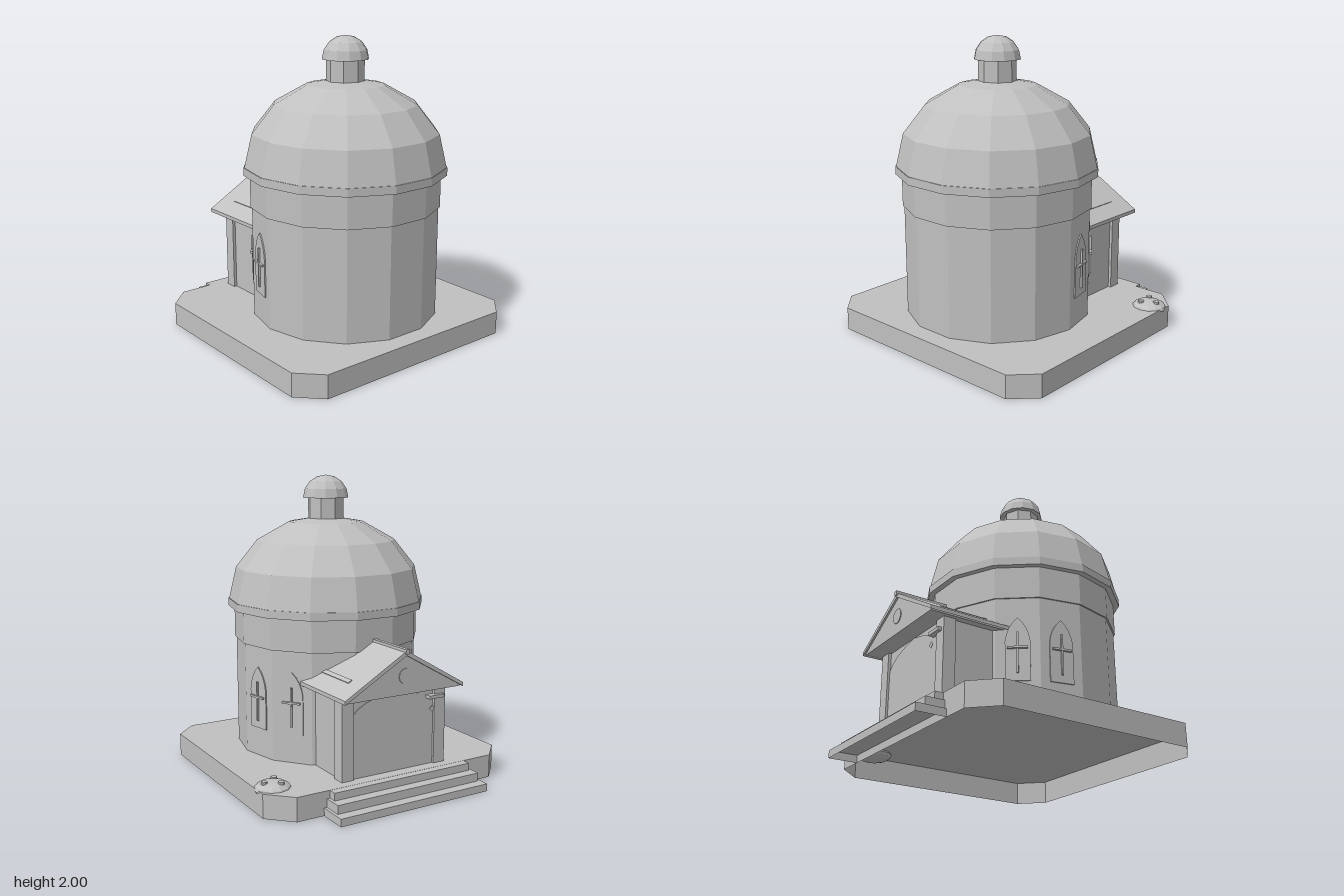
import * as THREE from 'three';

export function createModel() {
  const root = new THREE.Group();
  const stone = new THREE.MeshStandardMaterial({ color: 0xc0c0c0, flatShading: true, side: THREE.DoubleSide });
  stone.name = 'paleStone';
  const TX = -0.007, PX = -0.01, CZ = 0.19; // tower axis, porch centre line

  const add = (name, geo, x = 0, y = 0, z = 0, parent = root) => {
    const m = new THREE.Mesh(geo, stone);
    m.name = name;
    m.position.set(x, y, z);
    parent.add(m);
    return m;
  };
  // box from its lower and upper corners
  const box = (name, x0, x1, y0, y1, z0, z1, parent) =>
    add(name, new THREE.BoxGeometry(x1 - x0, y1 - y0, z1 - z0),
      (x0 + x1) / 2, (y0 + y1) / 2, (z0 + z1) / 2, parent);
  // prism on the tower axis, with corners on the x axis
  const prism = (name, r, y0, y1, sides) =>
    add(name, new THREE.CylinderGeometry(r, r, y1 - y0, sides, 1, false, Math.PI / 2), TX, (y0 + y1) / 2, CZ);
  const dome = (name, r, y, h, sides) => {
    const g = new THREE.SphereGeometry(r, sides, 4, 0, Math.PI * 2, 0, Math.PI / 2);
    g.scale(1, h / r, 1);
    return add(name, g, TX, y, CZ);
  };
  const outline = points => new THREE.Shape(points.map(p => new THREE.Vector2(...p)));
  const extrude = (points, depth) =>
    new THREE.ExtrudeGeometry(outline(points), { depth, bevelEnabled: false });
  // pointed arch plate facing +z
  const archPlate = (w, y0, spring, top, depth) => {
    const s = new THREE.Shape();
    s.moveTo(-w, y0);
    s.lineTo(w, y0);
    s.lineTo(w, spring);
    s.quadraticCurveTo(w * 0.85, (spring + top) / 2 + 0.02, 0, top);
    s.quadraticCurveTo(-w * 0.85, (spring + top) / 2 + 0.02, -w, spring);
    s.closePath();
    return new THREE.ExtrudeGeometry(s, { depth, bevelEnabled: false, curveSegments: 4 });
  };
  // hollow slab: top and side walls, open underneath (outline in x, -z)
  const openSlab = (name, points, y0, y1) => {
    const g = new THREE.Group();
    g.name = name;
    const top = new THREE.ShapeGeometry(outline(points));
    top.rotateX(-Math.PI / 2);
    add(name + 'Top', top, 0, y1, 0, g);
    points.forEach(([x0, v0], i) => {
      const [x1, v1] = points[(i + 1) % points.length];
      const wall = new THREE.PlaneGeometry(Math.hypot(x1 - x0, v1 - v0), y1 - y0);
      add(name + 'Wall', wall, (x0 + x1) / 2, (y0 + y1) / 2, -(v0 + v1) / 2, g)
        .rotation.y = Math.atan2(v1 - v0, x1 - x0);
    });
    root.add(g);
  };

  // Chamfered plinth, hollow below
  const L = -0.89, R = 0.875, F = -0.92, B = 0.725, c = 0.15;
  openSlab('plinth', [[L + c, F], [R - c, F], [R, F + c], [R, B - c],
    [R - c, B], [L + c, B], [L, B - c], [L, F + c]], 0, 0.155);

  // Steps at the back
  [[0.51, 0.105, 0.154, 0.78], [0.53, 0.05, 0.105, 0.85], [0.55, 0, 0.05, 0.92]].forEach(([w, y0, y1, v]) =>
    openSlab('step', [[PX - w, B], [PX + w, B], [PX + w, v], [PX - w, v]], y0, y1));

  // Tower, cornice, dome and lantern
  prism('drum', 0.622, 0.157, 0.9, 14);
  prism('upperDrum', 0.632, 0.9, 1.114, 14);
  prism('cornice', 0.672, 1.114, 1.167, 14);
  dome('dome', 0.667, 1.167, 0.562, 14);
  prism('lantern', 0.124, 1.69, 1.85, 8);
  prism('lanternRim', 0.153, 1.848, 1.852, 12);
  dome('lanternCap', 0.153, 1.851, 0.149, 12);

  // Two pointed windows with cross bars on each side
  for (const side of [1, -1]) {
    for (const k of [0.5, 1.5]) {
      const ang = k * Math.PI * 2 / 14;
      const g = new THREE.Group();
      g.name = 'window';
      g.position.set(TX + side * 0.6064 * Math.cos(ang), 0, CZ - 0.6064 * Math.sin(ang));
      g.rotation.y = side * (Math.PI / 2 + ang);
      add('windowPane', archPlate(0.078, 0.35, 0.61, 0.765, 0.008), 0, 0, 0, g);
      box('windowPost', -0.006, 0.006, 0.4, 0.665, 0, 0.02, g);
      box('windowBar', -0.063, 0.063, 0.557, 0.57, 0, 0.024, g);
      root.add(g);
    }
  }

  // Porch body, corner pillars and overhanging gable
  box('porchBody', PX - 0.37, PX + 0.37, 0.157, 0.71, -0.645, -0.25);
  for (const s of [1, -1]) {
    box('pillar', PX + s * 0.348 - 0.0425, PX + s * 0.348 + 0.0425, 0.157, 0.7, -0.665, -0.58);
  }
  add('gable', extrude([[-0.42, 0.687], [0.42, 0.687], [0.42, 0.7], [0, 0.945], [-0.42, 0.7]], 0.52), PX, 0, -0.772);

  // Porch roof with ridge and raised strips
  add('porchRoof', extrude([[0, 0.965], [-0.44, 0.71], [-0.44, 0.685], [0, 0.935],
    [0.44, 0.685], [0.44, 0.71]], 0.585), PX, 0, -0.785);
  box('ridgeBeam', PX - 0.014, PX + 0.014, 0.945, 0.975, -0.795, -0.3);
  for (const s of [1, -1]) {
    const strip = add('roofStrip', new THREE.BoxGeometry(0.03, 0.02, 0.345), PX + s * 0.315, 0.777, -0.472);
    strip.rotation.z = -s * 0.525;
  }

  // Arched front panel, round gable window, bracket and hanging lozenge
  add('archPanel', archPlate(0.305, 0.157, 0.56, 0.686, 0.006), PX, 0, -0.65);
  const round = new THREE.CylinderGeometry(0.05, 0.05, 0.006, 12);
  round.rotateX(Math.PI / 2);
  add('roundWindow', round, PX, 0.805, -0.774);
  box('bracket', -0.375, -0.26, 0.6, 0.622, -0.69, -0.64);
  const lozenge = add('lozenge', new THREE.BoxGeometry(0.03, 0.03, 0.003), -0.285, 0.535, -0.68);
  lozenge.rotation.z = Math.PI / 4;

  // Rounded boulder with three knobs on the corner
  const rock = new THREE.SphereGeometry(0.117, 12, 8);
  rock.scale(1, 0.42, 1);
  add('boulder', rock, 0.768, 0.145, -0.495);
  [[0.735, -0.545], [0.825, -0.495], [0.735, -0.445]].forEach(([x, z]) =>
    add('boulderKnob', new THREE.CylinderGeometry(0.02, 0.022, 0.03, 8), x, 0.183, z));

  return root;
}
